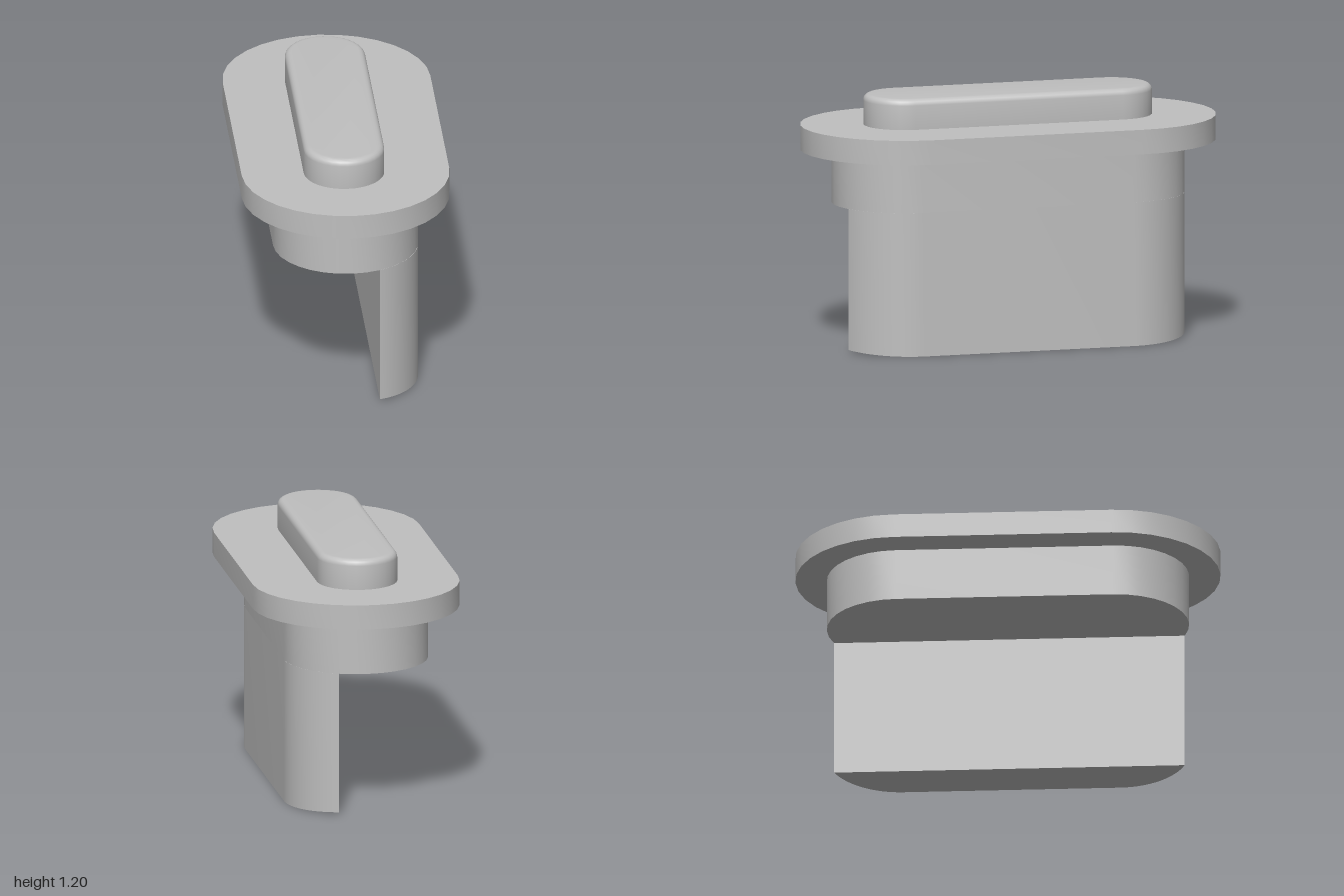
import * as THREE from 'three';
import { toCreasedNormals } from 'three/addons/utils/BufferGeometryUtils.js';

const END = 0.511; // z of the centres of all rounded ends

// Capsule outline, long axis along y
function capsule(r) {
  const s = new THREE.Shape();
  s.moveTo(r, -END);
  s.lineTo(r, END);
  s.absarc(0, END, r, 0, Math.PI, false);
  s.lineTo(-r, -END);
  s.absarc(0, -END, r, Math.PI, Math.PI * 2, false);
  return s;
}

// Slice of the capsule outline lying beyond x = cut
function capsuleSlice(r, cut) {
  const a = Math.acos(cut / r);
  const s = new THREE.Shape();
  s.moveTo(r, -END);
  s.lineTo(r, END);
  s.absarc(0, END, r, 0, a, false);
  s.lineTo(cut, -END - r * Math.sin(a));
  s.absarc(0, -END, r, -a, 0, false);
  return s;
}

// Extrude an outline upwards from y0 to y1
function upright(shape, y0, y1, options = {}) {
  const g = new THREE.ExtrudeGeometry(shape, {
    depth: y1 - y0, curveSegments: 8, bevelEnabled: false, ...options,
  });
  g.rotateX(-Math.PI / 2);
  g.translate(0, y0, 0);
  return g;
}

export function createModel() {
  const group = new THREE.Group();
  const grey = new THREE.MeshStandardMaterial({ color: 0xbfbfbf });
  grey.name = 'grey';
  const add = (name, geometry) => {
    const mesh = new THREE.Mesh(toCreasedNormals(geometry, 0.6), grey);
    mesh.name = name;
    group.add(mesh);
  };

  // Wide flange and the plug body beneath it
  add('flange', upright(capsule(0.49), 0.938, 1.055));
  add('plugBody', upright(capsule(0.342), 0.685, 0.938));

  // Raised button with a rounded top rim; its lower rim is sunk in the flange
  const rim = 0.03;
  const button = upright(capsule(0.19), 1.0, 1.2 - rim, {
    bevelEnabled: true, bevelSize: rim, bevelThickness: rim, bevelOffset: -rim, bevelSegments: 5,
  });
  button.translate(-0.007, 0, 0);
  add('button', button);

  // Hanging tab, its underside rising slightly towards the middle
  const tab = upright(capsuleSlice(0.342, 0.135), 0, 0.685);
  const p = tab.attributes.position;
  for (let i = 0; i < p.count; i++) {
    if (p.getY(i) < 0.1) p.setY(i, 0.013 * (0.342 - p.getX(i)) / 0.207);
  }
  tab.computeVertexNormals();
  add('tab', tab);

  return group;
}
